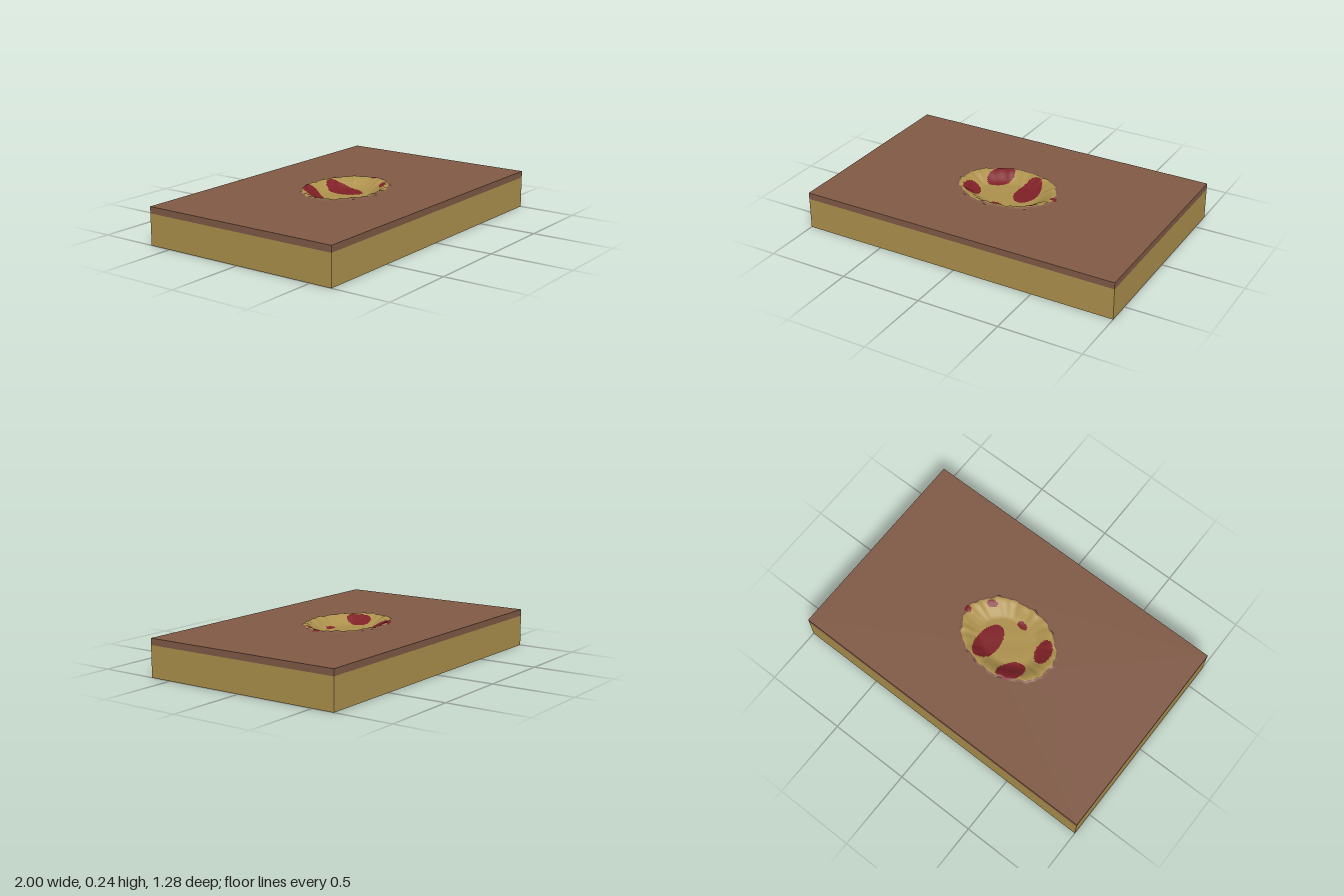
import * as THREE from 'three';
import { mergeGeometries } from 'three/addons/utils/BufferGeometryUtils.js';

const W = 2, D = 1.28, TOP = 0.23, SEAM = 0.19;   // slab size and layer heights
const CX = -0.01, RX = 0.305, RZ = 0.228;         // crater centre and radii
const SEGS = 160, RINGS = 48;

// red patches on the crater: x, z, half width, half depth, tilt
const PATCHES = [
  [-0.14, -0.145, 0.06, 0.09, 0.6],
  [0.083, -0.075, 0.072, 0.125, 0],
  [-0.222, 0.065, 0.052, 0.075, -0.3],
  [-0.015, 0.13, 0.035, 0.02, 0.1],
  [0.205, 0.12, 0.032, 0.022, -0.4],
  [0.295, 0, 0.02, 0.022, 0],
];

const inPatch = (x, z) => PATCHES.some(([px, pz, a, b, r]) => {
  const dx = x - px, dz = z - pz, c = Math.cos(r), s = Math.sin(r);
  return ((dx * c + dz * s) / a) ** 2 + ((dz * c - dx * s) / b) ** 2 < 1;
});

// ragged outline of the crater, as a factor on its radii
const ragged = (a) => 1 + 0.014 * Math.sin(7 * a + 1) + 0.012 * Math.sin(17 * a)
  + 0.01 * Math.sin(31 * a + 2);

function rimPoint(a, t) {
  const k = t * (1 + (ragged(a) - 1) * Math.min(t * t, 1));
  return [CX + RX * k * Math.cos(a), RZ * k * Math.sin(a)];
}

// four open walls between two heights
function walls(y0, y1) {
  const parts = [];
  for (let i = 0; i < 4; i++) {
    const side = i % 2 === 1;
    const g = new THREE.PlaneGeometry(side ? D : W, y1 - y0);
    g.translate(0, (y0 + y1) / 2, (side ? W : D) / 2);
    g.rotateY(i * Math.PI / 2);
    parts.push(g);
  }
  return mergeGeometries(parts);
}

// flat ground sheet with a ragged hole for the crater
function ground() {
  const s = new THREE.Shape();
  s.moveTo(-W / 2, -D / 2);
  s.lineTo(W / 2, -D / 2);
  s.lineTo(W / 2, D / 2);
  s.lineTo(-W / 2, D / 2);
  s.closePath();
  const pts = [];
  for (let j = 0; j < SEGS; j++) {
    const [x, z] = rimPoint(j / SEGS * Math.PI * 2, 1.05);
    pts.push(new THREE.Vector2(x, -z));
  }
  s.holes.push(new THREE.Path(pts));
  return new THREE.ShapeGeometry(s).rotateX(-Math.PI / 2).translate(0, TOP, 0);
}

// shallow bowl with a raised lip, made of rings; groups: 0 sand, 1 red, 2 soil
function crater() {
  const pos = [], faces = [[], [], []];
  for (let i = 0; i <= RINGS + 1; i++) {
    const t = i > RINGS ? 1.05 : i / RINGS;
    for (let j = 0; j < SEGS; j++) {
      const a = j / SEGS * Math.PI * 2;
      const [x, z] = rimPoint(a, t);
      const lip = 0.006 + 0.002 * Math.sin(9 * a) + 0.002 * Math.sin(23 * a + 1);
      const rise = THREE.MathUtils.smoothstep(t, 0.55, 1);
      const bumps = 0.0015 * Math.sin(28 * x + 1) * Math.sin(33 * z) * (1 - rise);
      const y = i > RINGS ? TOP : TOP - 0.048 * (1 - rise) + lip * rise + bumps;
      pos.push(x, y, z);
    }
  }
  for (let i = 0; i <= RINGS; i++) {
    for (let j = 0; j < SEGS; j++) {
      const k = (j + 1) % SEGS;
      const a = i * SEGS + j, b = i * SEGS + k, c = a + SEGS, d = b + SEGS;
      const x = (pos[a * 3] + pos[d * 3]) / 2, z = (pos[a * 3 + 2] + pos[d * 3 + 2]) / 2;
      const f = faces[inPatch(x, z) ? 1 : i === RINGS ? 2 : 0];
      if (i > 0) f.push(a, b, c);
      f.push(b, d, c);
    }
  }
  const g = new THREE.BufferGeometry();
  g.setAttribute('position', new THREE.Float32BufferAttribute(pos, 3));
  g.setIndex(faces.flat());
  let start = 0;
  faces.forEach((f, m) => {
    g.addGroup(start, f.length, m);
    start += f.length;
  });
  g.computeVertexNormals();
  return g;
}

export function createModel() {
  const material = (name, color) => {
    const m = new THREE.MeshStandardMaterial({ color, side: THREE.DoubleSide });
    m.name = name;
    return m;
  };
  const sand = material('sand', 0xac904c);
  const soil = material('soil', 0x805a46);
  const red = material('darkRed', 0x7e2026);

  const model = new THREE.Group();
  model.name = 'craterSlab';
  const add = (name, geometry, mat) => {
    const mesh = new THREE.Mesh(geometry, mat);
    mesh.name = name;
    model.add(mesh);
  };
  add('lowerWalls', walls(0, SEAM), sand);
  add('upperWalls', walls(SEAM, TOP), soil);
  add('groundSheet', ground(), soil);
  add('crater', crater(), [sand, red, soil]);
  return model;
}
